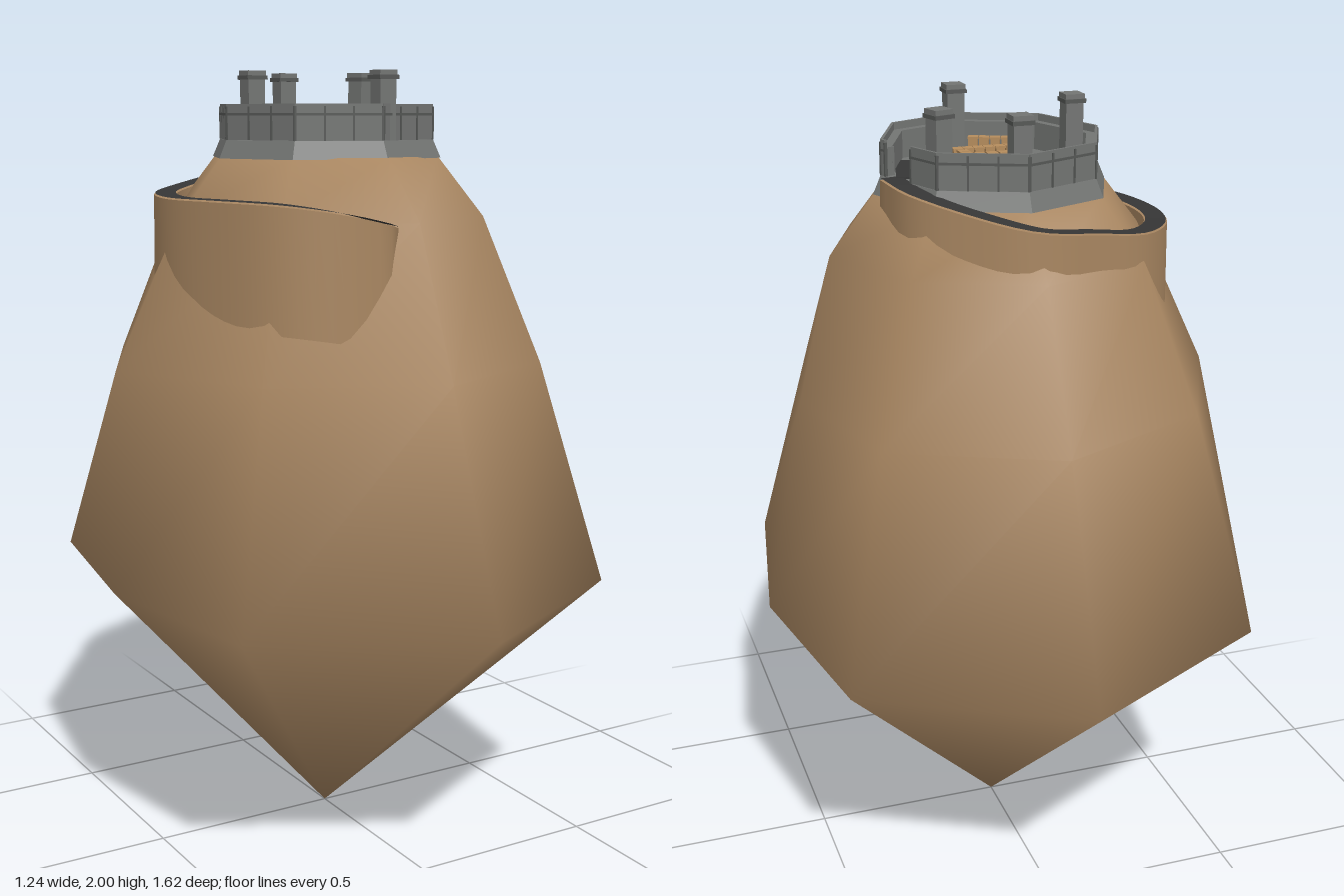
import * as THREE from 'three';
import { mergeVertices } from 'three/addons/utils/BufferGeometryUtils.js';

const mat = (name, color, side = THREE.FrontSide) => {
  const m = new THREE.MeshStandardMaterial({ color, side });
  m.name = name;
  return m;
};

// Surface through equal-length rows of points, smooth shaded
function loft(rows, closed) {
  const n = rows[0].length, pos = rows.flat(2), idx = [];
  for (let i = 0; i < rows.length - 1; i++) {
    for (let j = 0; j < (closed ? n : n - 1); j++) {
      const k = (j + 1) % n, a = i * n + j, b = i * n + k;
      idx.push(a, b, b + n, a, b + n, a + n);
    }
  }
  let g = new THREE.BufferGeometry();
  g.setAttribute('position', new THREE.Float32BufferAttribute(pos, 3));
  g.setIndex(idx);
  g = mergeVertices(g, 1e-5);
  g.computeVertexNormals();
  return g;
}

export function createModel() {
  const root = new THREE.Group();
  root.name = 'hilltopFortress';
  const earth = mat('earth', 0xa88661, THREE.DoubleSide);
  const stone = mat('stone', 0x737573);
  const darkStone = mat('darkStone', 0x565856);
  const paving = mat('paving', 0x363636, THREE.DoubleSide);
  const roofTan = mat('roofTan', 0xb58c5c);

  const add = (parent, name, geo, material, x = 0, y = 0, z = 0, ry = 0) => {
    const m = new THREE.Mesh(geo, material);
    m.name = name;
    m.position.set(x, y, z);
    m.rotation.y = ry;
    parent.add(m);
    return m;
  };
  const box = (parent, name, material, w, h, d, x, y, z, ry = 0) =>
    add(parent, name, new THREE.BoxGeometry(w, h, d), material, x, y + h / 2, z, ry);

  // Eight-sided rock: y, +x, -x, +z, -z reach and diagonal reach
  const rings = [
    [0, 0, 0, 0, 0, 0],
    [0.7, 0.62, 0.62, 0.81, 0.81, 0.53],
    [1.27, 0.51, 0.6, 0.6, 0.59, 0.405],
    [1.64, 0.42, 0.42, 0.45, 0.42, 0.295],
    [1.79, 0.3, 0.3, 0.31, 0.29, 0.21],
    [1.8, 0, 0, 0, 0, 0],
  ].map(([y, xp, xm, zp, zm, d]) => [
    [0, y, zp], [d, y, d], [xp, y, 0], [d, y, -d],
    [0, y, -zm], [-d, y, -d], [-xm, y, 0], [-d, y, d],
  ]);
  add(root, 'rock', loft(rings, true), earth);

  // Road winding up around the rock, on an earth bank
  const path = new THREE.CatmullRomCurve3([
    [-0.05, 1.63, 0.425], [-0.2, 1.665, 0.425], [-0.32, 1.685, 0.36], [-0.4, 1.69, 0.2],
    [-0.43, 1.69, 0.02], [-0.39, 1.695, -0.14], [-0.29, 1.705, -0.26], [-0.15, 1.73, -0.32],
    [0, 1.755, -0.36], [0.14, 1.79, -0.29], [0.24, 1.82, -0.19], [0.27, 1.83, -0.04],
  ].map((p) => new THREE.Vector3(...p)));
  const up = new THREE.Vector3(0, 1, 0);
  const edge = (offset, dy) => Array.from({ length: 49 }, (_, i) => {
    const t = i / 48;
    const out = new THREE.Vector3().crossVectors(up, path.getTangentAt(t)).normalize();
    const p = path.getPointAt(t).addScaledVector(out, offset * (i === 0 ? 0.25 : 1));
    return [p.x, p.y + dy, p.z];
  });
  add(root, 'road', loft([edge(-0.026, 0.004), edge(0.026, 0.004)], false), paving);
  const bankLoop = (dy, grow) => [...edge(0.029 + grow, dy), ...edge(-0.029, dy).reverse()];
  add(root, 'roadBank', loft([bankLoop(0, 0), bankLoop(-0.3, 0.005)].reverse(), true), earth);
  add(root, 'roadShoulder', loft([edge(-0.029, 0), edge(0.029, 0)], false), earth);

  // Fortress plinth and courtyard
  const fort = new THREE.Group();
  fort.name = 'fortress';
  root.add(fort);
  const plinth = new THREE.CylinderGeometry(0.285, 0.305, 0.045, 8).toNonIndexed();
  plinth.computeVertexNormals();
  add(fort, 'plinth', plinth, stone, 0, 1.808, 0);
  const yard = 1.831;

  // Curtain walls; the facet by the road has a gate opening
  const R = 0.28;
  const corner = (i) => new THREE.Vector3(R * Math.sin(i * Math.PI / 4), 0, R * Math.cos(i * Math.PI / 4));
  const wall = (i, t0, t1) => {
    const a = corner(i), b = corner(i + 1);
    const p = a.clone().lerp(b, t0), q = a.clone().lerp(b, t1);
    const len = p.distanceTo(q), angle = (i + 0.5) * Math.PI / 4;
    const g = new THREE.Group();
    g.name = 'curtainWall';
    g.position.set((p.x + q.x) / 2, yard, (p.z + q.z) / 2);
    g.rotation.y = angle;
    fort.add(g);
    box(g, 'wallBody', stone, len, 0.07, 0.026, 0, 0, -0.012);
    box(g, 'parapet', stone, len, 0.088, 0.007, 0, 0, 0);
    box(g, 'wallWalkEdge', darkStone, len, 0.006, 0.004, 0, 0.06, 0.004);
    const ribs = Math.max(1, Math.round(len / 0.07));
    for (let k = 0; k <= ribs; k++) {
      box(g, 'wallRib', darkStone, 0.005, 0.082, 0.008, -len / 2 + (k * len) / ribs, 0, 0.002);
    }
  };
  for (let i = 0; i < 8; i++) {
    if (i === 2) {
      wall(i, 0, 0.08);
      wall(i, 0.55, 1);
    } else wall(i, 0, 1);
  }

  // Watchtowers with overhanging caps
  for (const [x, z] of [[-0.22, 0.02], [0.0, -0.215], [0.16, -0.085], [0.02, 0.25]]) {
    const t = new THREE.Group();
    t.name = 'watchtower';
    t.position.set(x, yard, z);
    t.rotation.y = Math.abs(x) > 0.1 && x > 0 ? 0.3 : 0;
    fort.add(t);
    box(t, 'towerShaft', stone, 0.046, 0.15, 0.046, 0, 0, 0);
    box(t, 'towerCap', darkStone, 0.056, 0.01, 0.056, 0, 0.147, 0);
    box(t, 'towerRoof', stone, 0.05, 0.012, 0.05, 0, 0.157, 0);
  }

  // Paved streets
  box(fort, 'mainSquare', paving, 0.3, 0.004, 0.085, 0.0, yard, 0.17);
  box(fort, 'westStreet', paving, 0.045, 0.004, 0.27, -0.128, yard, 0.0);
  box(fort, 'northStreet', paving, 0.13, 0.004, 0.065, -0.05, yard, -0.115);
  box(fort, 'gateStreet', paving, 0.04, 0.004, 0.2, 0.215, yard, 0.04, -0.25);

  // Houses: stone walls with tan roofs
  const house = (x, z, ry = 0) => {
    box(fort, 'houseWalls', roofTan, 0.024, 0.03, 0.024, x, yard, z, ry);
    box(fort, 'houseRoof', roofTan, 0.027, 0.005, 0.027, x, yard + 0.03, z, ry);
  };
  const row = (n, x0, z0, x1, z1, ry = 0) => {
    for (let k = 0; k < n; k++) {
      const t = n > 1 ? k / (n - 1) : 0;
      house(x0 + (x1 - x0) * t, z0 + (z1 - z0) * t, ry);
    }
  };
  // Rows backing onto the curtain walls
  for (const i of [3, 4, 5, 7]) {
    const a = corner(i).multiplyScalar(0.83), b = corner(i + 1).multiplyScalar(0.83);
    const p = a.clone().lerp(b, 0.2), q = a.clone().lerp(b, 0.85);
    row(5, p.x, p.z, q.x, q.z, (i + 0.5) * Math.PI / 4);
  }
  // Rows inside the yard
  row(4, -0.07, -0.06, 0.025, -0.06);
  row(4, -0.07, 0.012, 0.025, 0.012);
  row(6, -0.08, 0.09, 0.06, 0.09);
  row(3, 0.055, -0.01, 0.055, 0.055);
  row(2, 0.04, -0.145, 0.04, -0.11);
  row(6, 0.18, -0.03, 0.125, 0.1, -0.35);
  row(2, 0.1, -0.055, 0.1, -0.025);
  house(-0.085, 0.05);

  // Low stone halls between the rows
  box(fort, 'northHall', stone, 0.11, 0.014, 0.03, -0.02, yard, -0.025);
  box(fort, 'southHall', stone, 0.11, 0.014, 0.03, -0.02, yard, 0.05);
  box(fort, 'eastHall', stone, 0.035, 0.03, 0.1, 0.08, yard, -0.11);

  // Well with a small post frame
  add(fort, 'well', new THREE.CylinderGeometry(0.012, 0.012, 0.02, 8), darkStone, -0.055, yard + 0.01, -0.118);
  box(fort, 'wellBeam', darkStone, 0.04, 0.005, 0.005, -0.055, yard + 0.035, -0.118);
  for (const s of [-1, 1]) box(fort, 'wellPost', darkStone, 0.004, 0.036, 0.004, -0.055 + s * 0.017, yard, -0.118);

  return root;
}
